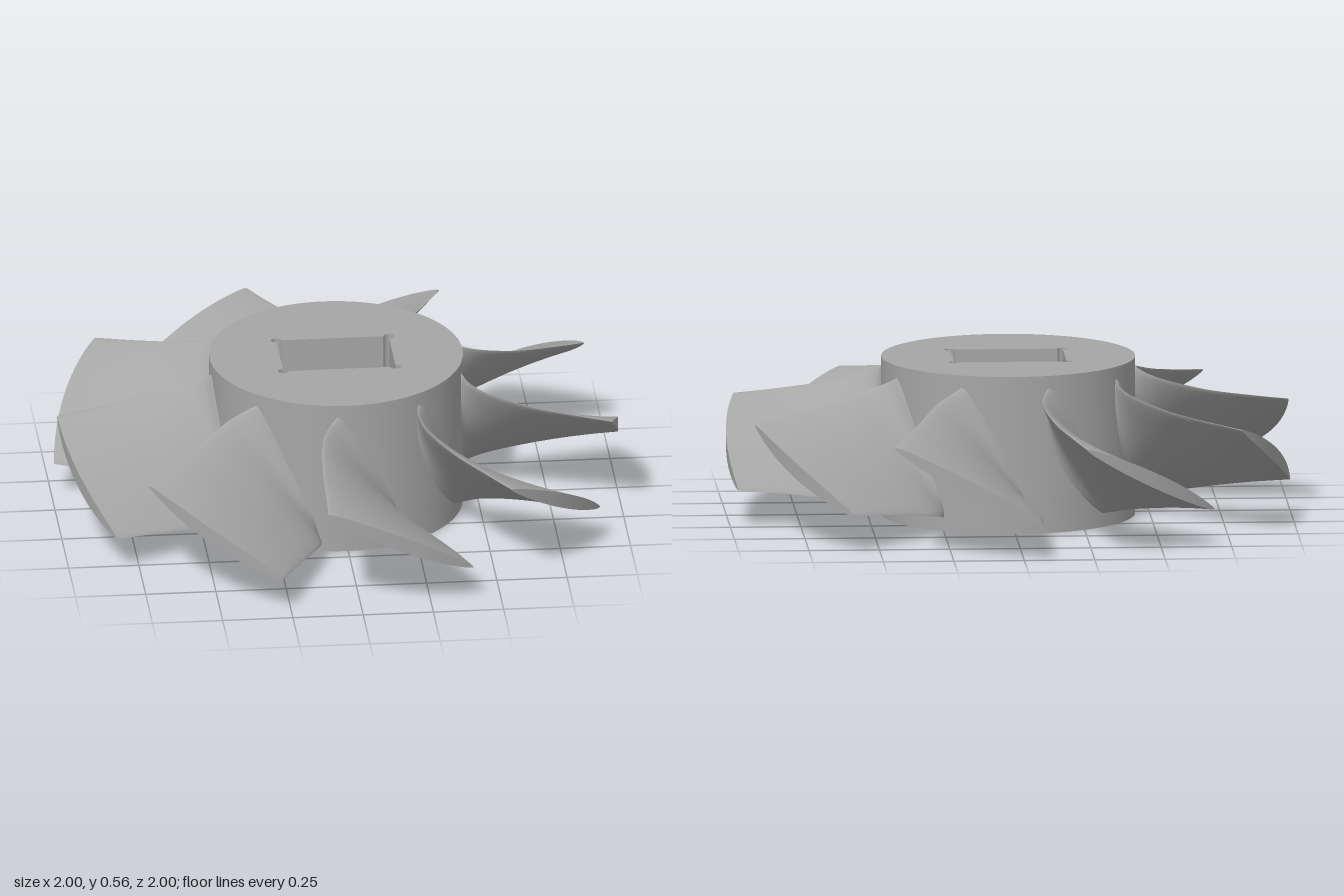
import * as THREE from 'three';
import { toCreasedNormals } from 'three/addons/utils/BufferGeometryUtils.js';

const BLADES = 9;
const HUB_R = 0.45, HUB_H = 0.565, FLOOR = 0.13;

// Edge of a blade as (radius, angle in degrees, height), root to tip
const edge = (pts) => new THREE.CatmullRomCurve3(
  pts.map((p) => new THREE.Vector3(...p)), false, 'catmullrom', 0.5);

const upperEdge = edge([
  [0.43, -4, 0.53], [0.45, -5, 0.52], [0.48, -8, 0.5], [0.55, -10.3, 0.475],
  [0.7, -9.4, 0.435], [0.85, -8, 0.41], [1, -7, 0.39]]);
const lowerEdge = edge([
  [0.43, 25, 0.045], [0.45, 26, 0.05], [0.48, 28, 0.055], [0.55, 29, 0.07],
  [0.7, 27, 0.095], [0.85, 25.2, 0.115], [1, 23.7, 0.13]]);

// Closed aerofoil loop wrapped on a cylinder: upper side out, lower side back
function section(t, n) {
  const a = upperEdge.getPoint(t), b = lowerEdge.getPoint(t);
  const r = a.x, rad = Math.PI / 180;
  const fade = Math.max(0, (1 - r) / 0.55);
  const half = 0.026 + 0.03 * Math.exp(-Math.max(0, r - HUB_R) / 0.018);
  const s0 = r * a.y * rad, s1 = r * b.y * rad;
  const len = Math.hypot(s1 - s0, b.z - a.z);
  const nx = (a.z - b.z) / len, ny = (s1 - s0) / len;
  const loop = [];
  for (let j = 0; j < 2 * n; j++) {
    const side = j <= n ? 1 : -1;
    const k = j <= n ? j : 2 * n - j;
    const u = (1 - Math.cos(Math.PI * k / n)) / 2;
    const bend = Math.sin(Math.PI * u);
    const off = side * half * Math.pow(Math.max(0, bend), 0.6) - 0.028 * fade * bend;
    const angle = (s0 + (s1 - s0) * u + nx * off) / r;
    const y = a.z + (b.z - a.z) * u + ny * off;
    loop.push([r * Math.sin(angle), y, r * Math.cos(angle)]);
  }
  return loop;
}

function bladeGeometry() {
  const n = 22, rings = 36, m = 2 * n;
  const pos = [], index = [];
  for (let i = 0; i <= rings; i++) section(i / rings, n).forEach((p) => pos.push(...p));
  for (let i = 0; i < rings; i++) {
    for (let j = 0; j < m; j++) {
      const a = i * m + j, c = i * m + (j + 1) % m;
      index.push(a, a + m, c, c, a + m, c + m);
    }
  }
  // Tip face
  const o = rings * m;
  for (let j = 0; j < n; j++) {
    const up = o + j, up2 = o + j + 1;
    const low = o + (m - j) % m, low2 = o + m - j - 1;
    if (low !== up) index.push(up, low, low2);
    if (low2 !== up2) index.push(up, low2, up2);
  }
  const g = new THREE.BufferGeometry();
  g.setAttribute('position', new THREE.Float32BufferAttribute(pos, 3));
  g.setIndex(index);
  return toCreasedNormals(g, 0.7);
}

// Disc with one hole, standing on height y
function plate(hole, y, height) {
  const shape = new THREE.Shape();
  shape.absarc(0, 0, HUB_R, 0, Math.PI * 2, false);
  shape.holes.push(hole);
  const g = new THREE.ExtrudeGeometry(shape, { depth: height, bevelEnabled: false, curveSegments: 48 });
  g.rotateX(-Math.PI / 2).translate(0, y, 0);
  return toCreasedNormals(g, 0.5);
}

// Rectangular pocket with round reliefs at its corners
function pocketOutline() {
  const path = new THREE.Path();
  [[1, 1], [-1, 1], [-1, -1], [1, -1]].forEach(([sx, sy], k) => {
    const start = (k - 1) * Math.PI / 2;
    path.absarc(sx * 0.2, sy * 0.132, 0.018, start, start + Math.PI * 1.5, false);
  });
  path.closePath();
  return path;
}

export function createModel() {
  const model = new THREE.Group();
  model.name = 'impeller';
  const grey = new THREE.MeshStandardMaterial({ color: 0xa6a6a6 });
  grey.name = 'grey';
  const add = (parent, geometry, name) => {
    const mesh = new THREE.Mesh(geometry, grey);
    mesh.name = name;
    parent.add(mesh);
    return mesh;
  };

  // Hub: pocketed body over a floor with a round bore
  const hub = new THREE.Group();
  hub.name = 'hub';
  const bore = new THREE.Path();
  bore.absarc(0, 0, 0.115, 0, Math.PI * 2, true);
  add(hub, plate(bore, 0, FLOOR), 'hubFloor');
  add(hub, plate(pocketOutline(), FLOOR, HUB_H - FLOOR), 'hubBody');
  model.add(hub);

  // Ring of twisted blades
  const blades = new THREE.Group();
  blades.name = 'blades';
  const geometry = bladeGeometry();
  for (let i = 0; i < BLADES; i++) {
    add(blades, geometry, 'blade' + (i + 1)).rotation.y = i * Math.PI * 2 / BLADES;
  }
  model.add(blades);
  return model;
}
